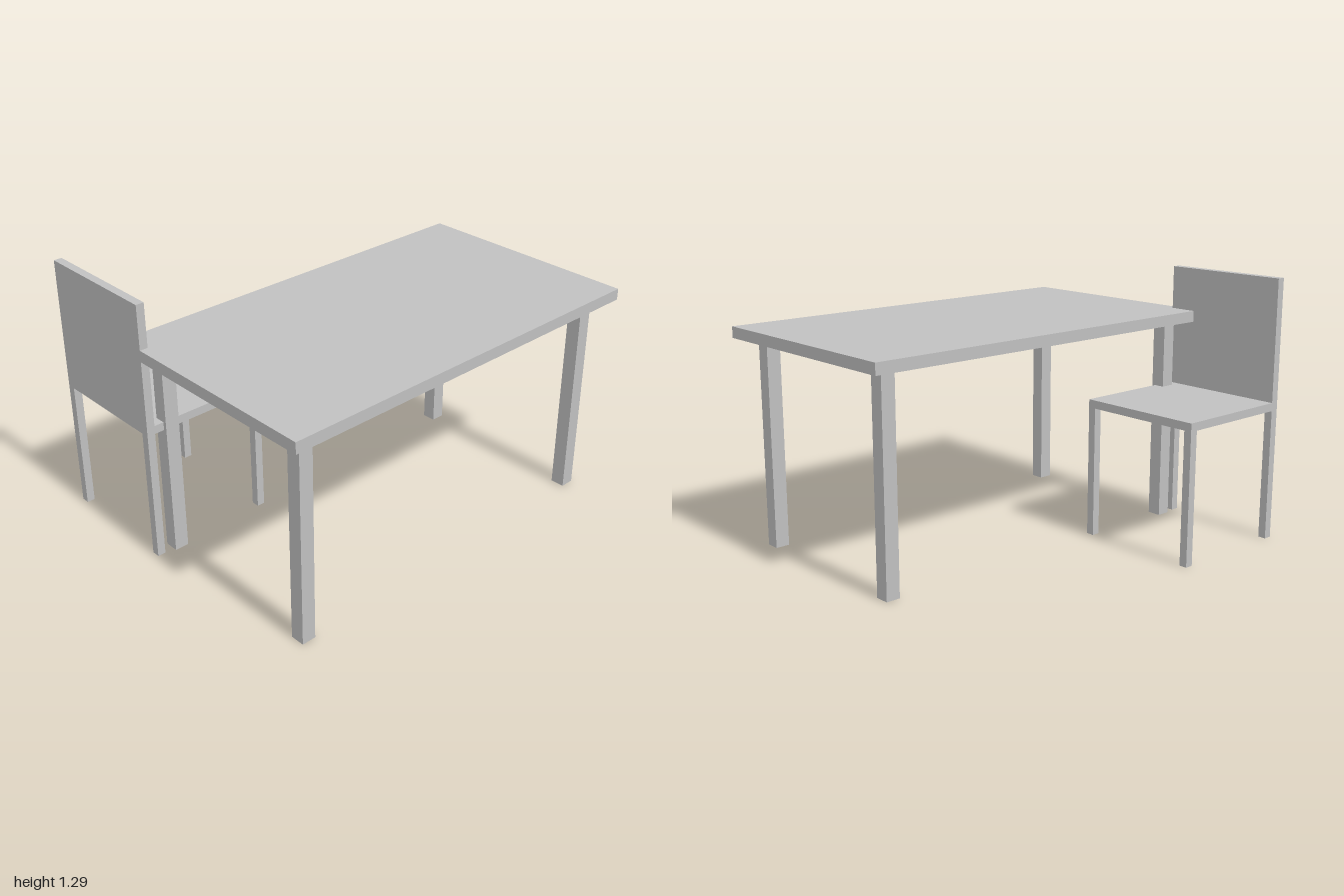
import * as THREE from 'three';

const grey = new THREE.MeshStandardMaterial({ color: 0xc0c0c0 });
grey.name = 'plain grey';

// Box given by its extents along each axis
function slab(name, [x0, x1], [y0, y1], [z0, z1]) {
  const mesh = new THREE.Mesh(new THREE.BoxGeometry(x1 - x0, y1 - y0, z1 - z0), grey);
  mesh.position.set((x0 + x1) / 2, (y0 + y1) / 2, (z0 + z1) / 2);
  mesh.name = name;
  return mesh;
}

// Four square legs at the corners of a rectangle
function addLegs(group, name, [x0, x1], [z0, z1], size, height) {
  for (const x of [x0, x1 - size]) {
    for (const z of [z0, z1 - size]) {
      group.add(slab(name, [x, x + size], [0, height], [z, z + size]));
    }
  }
}

export function createModel() {
  const model = new THREE.Group();
  model.name = 'tableAndChair';

  // Table: top board and four inset legs
  const table = new THREE.Group();
  table.name = 'table';
  table.add(slab('tableTop', [-1, 1], [1.02, 1.075], [-0.318, 0.822]));
  addLegs(table, 'tableLeg', [-0.912, 0.912], [-0.232, 0.737], 0.07, 1.02);

  // Chair: seat, flush legs and an upright back panel on its right edge
  const chair = new THREE.Group();
  chair.name = 'chair';
  const cx = [-1, -0.362], cz = [-0.822, -0.18];
  chair.add(slab('chairSeat', cx, [0.648, 0.688], cz));
  chair.add(slab('chairBack', [-1, -0.96], [0.688, 1.288], cz));
  addLegs(chair, 'chairLeg', cx, cz, 0.04, 0.648);

  model.add(table, chair);
  return model;
}
